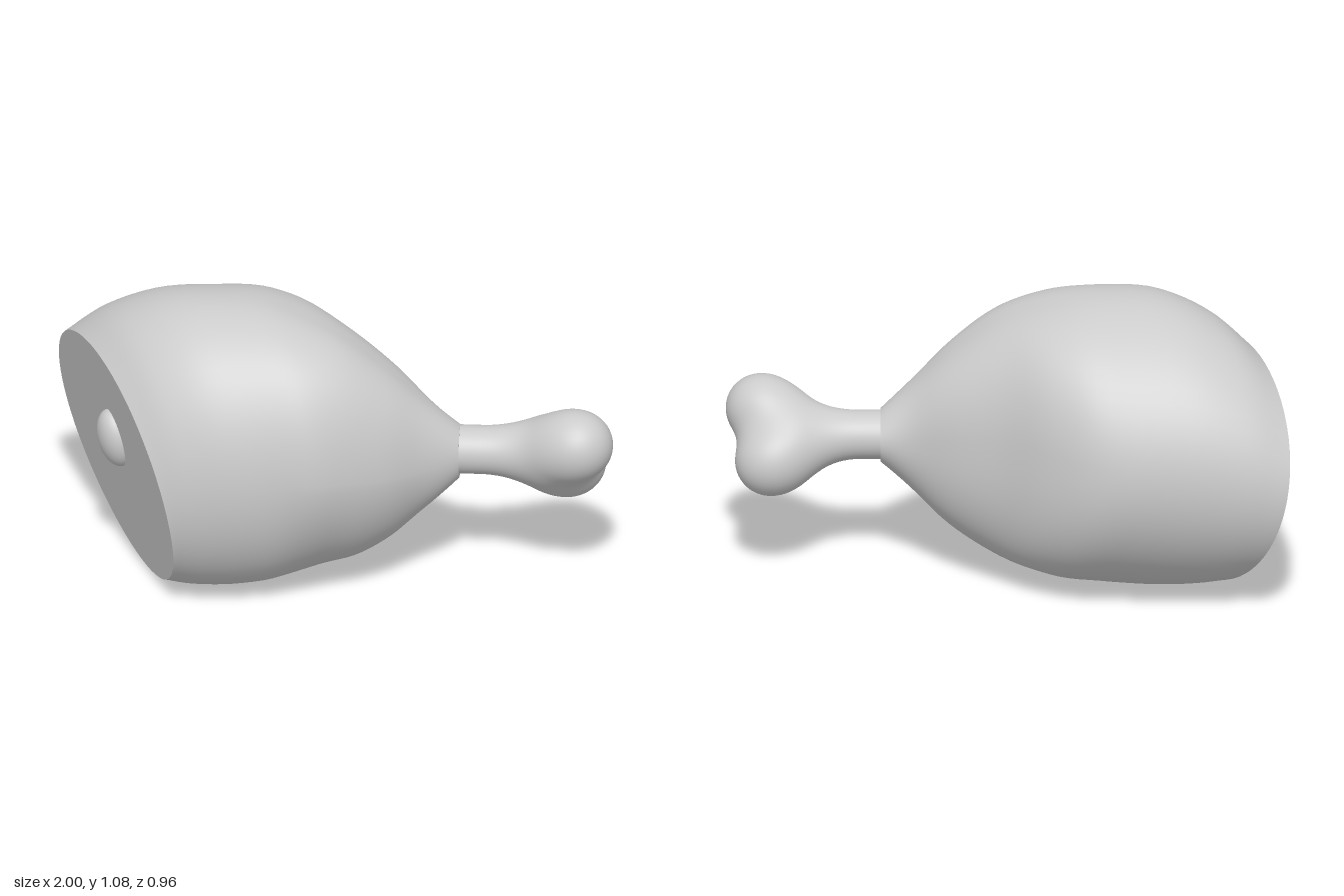
import * as THREE from 'three';

const material = new THREE.MeshStandardMaterial({ color: 0xcccccc });
const SIDES = 64;

// Skin a list of closed rings running towards +x; each ring starts at the top and turns to +z.
function loft(rings, capStart, capEnd) {
  const pos = [], index = [];
  const n = rings[0].length;
  rings.forEach(r => r.forEach(p => pos.push(p.x, p.y, p.z)));
  for (let i = 0; i < rings.length - 1; i++) {
    for (let j = 0; j < n; j++) {
      const a = i * n + j, b = i * n + (j + 1) % n;
      index.push(a, b, a + n, b, b + n, a + n);
    }
  }
  // Caps get their own vertices so the cut edge stays sharp
  const cap = (ring, flip) => {
    const start = pos.length / 3;
    const c = new THREE.Vector3();
    ring.forEach(p => { pos.push(p.x, p.y, p.z); c.addScaledVector(p, 1 / n); });
    pos.push(c.x, c.y, c.z);
    for (let j = 0; j < n; j++) {
      const a = start + j, b = start + (j + 1) % n;
      if (flip) index.push(start + n, b, a); else index.push(start + n, a, b);
    }
  };
  if (capStart) cap(rings[0], true);
  if (capEnd) cap(rings[rings.length - 1], false);
  const g = new THREE.BufferGeometry();
  g.setAttribute('position', new THREE.Float32BufferAttribute(pos, 3));
  g.setIndex(index);
  g.computeVertexNormals();
  return g;
}

function addMesh(group, name, geometry) {
  const mesh = new THREE.Mesh(geometry, material);
  mesh.name = name;
  group.add(mesh);
  return mesh;
}

// The cut leans both ways: x = CUT_X + CUT_Z * z + CUT_Y * (y - 0.47)
const CUT_X = -0.785, CUT_Z = 0.46, CUT_Y = -0.22;
const { smoothstep } = THREE.MathUtils;
const signedPow = (v, p) => Math.sign(v) * Math.pow(Math.abs(v), p);

// Meat: stations of x, top, bottom, front z, back z and share of the cut's lean
function meatGeometry() {
  const stations = [
    [CUT_X, 0.888, 0.02, 0.46, -0.435, 1],
    [-0.65, 1.0, 0.004, 0.475, -0.465, 0.83],
    [-0.47, 1.075, 0.006, 0.48, -0.482, 0.65],
    [-0.25, 1.083, 0.03, 0.46, -0.472, 0.43],
    [-0.1, 1.05, 0.066, 0.445, -0.39, 0.32],
    [0.05, 0.98, 0.113, 0.39, -0.25, 0.22],
    [0.2, 0.86, 0.2, 0.32, -0.15, 0.1],
    [0.33, 0.73, 0.315, 0.235, -0.065, 0],
    [0.45, 0.62, 0.43, 0.16, -0.025, 0],
  ];
  const curve = from => new THREE.CatmullRomCurve3(
    stations.map(s => new THREE.Vector3(s[from], s[from + 1], s[from + 2])), false, 'catmullrom');
  const heights = curve(0), widths = curve(3);
  const rings = [];
  for (let i = 0; i <= 40; i++) {
    const { x, y: top, z: bottom } = heights.getPoint(i / 40);
    const { x: front, y: back, z: lean } = widths.getPoint(i / 40);
    // Towards the ankle the back turns square and the lower front slims
    const w = smoothstep(x, -0.35, 0) * (1 - smoothstep(x, 0.25, 0.45));
    const ring = [];
    for (let j = 0; j < SIDES; j++) {
      const a = j / SIDES * Math.PI * 2;
      let c = Math.cos(a), s = Math.sin(a), power = 1;
      if (s < 0) power = 1 - (c > 0 ? 0.3 : 0.15) * w;
      else if (c < 0) power = 1 + 0.15 * w;
      c = signedPow(c, power);
      s = signedPow(s, power);
      const y = (top + bottom) / 2 + (top - bottom) / 2 * c;
      const skew = 0.045 * c * c * (top - bottom) * (c < 0 ? 1 - w : 1);
      const z = (front + back) / 2 + (front - back) / 2 * s + skew;
      ring.push(new THREE.Vector3(x + lean * (CUT_Z * z + CUT_Y * (y - 0.47)), y, z));
    }
    rings.push(ring);
  }
  return loft(rings, true, true);
}

// Bone: a shaft blended with two knobs, found by stepping rays out from its axis
const knobs = [
  { c: new THREE.Vector3(0.877, 0.6, 0.145), r: 0.12 },
  { c: new THREE.Vector3(0.845, 0.455, -0.005), r: 0.117 },
];
const smin = (a, b, k) => {
  const h = Math.max(k - Math.abs(a - b), 0) / k;
  return Math.min(a, b) - h * h * k / 4;
};
function boneDistance(p) {
  const dx = Math.max(0, p.x - 0.72);
  const shaft = Math.hypot(dx, p.y - 0.53, p.z - 0.068) - 0.087;
  const head = smin(...knobs.map(k => p.distanceTo(k.c) - k.r), 0.085);
  return smin(shaft, head, 0.22);
}
function boneGeometry() {
  const rings = [];
  const addRing = (x, tilt) => {
    const ring = [];
    for (let j = 0; j < SIDES; j++) {
      const a = j / SIDES * Math.PI * 2;
      const dir = new THREE.Vector3(Math.sin(tilt), Math.cos(tilt) * Math.cos(a), Math.cos(tilt) * Math.sin(a));
      const p = new THREE.Vector3(x, 0.53, 0.068);
      for (let s = 0; s < 60; s++) p.addScaledVector(dir, -boneDistance(p) * 0.8);
      ring.push(p);
    }
    rings.push(ring);
  };
  for (let i = 0; i < 24; i++) addRing(0.38 + 0.44 * i / 24, 0);
  for (let i = 0; i <= 24; i++) addRing(0.82, i / 24 * (Math.PI / 2 - 0.002));
  return loft(rings, true, false);
}

export function createModel() {
  const group = new THREE.Group();
  group.name = 'meatLeg';
  addMesh(group, 'meat', meatGeometry());
  addMesh(group, 'bone', boneGeometry());

  // Rounded bone end showing in the cut face
  const stub = addMesh(group, 'boneStub', new THREE.SphereGeometry(1, 32, 20));
  stub.scale.set(0.06, 0.112, 0.08);
  stub.position.set(CUT_X + 0.012, 0.53, 0.055);
  stub.quaternion.setFromUnitVectors(new THREE.Vector3(-1, 0, 0), new THREE.Vector3(-1, CUT_Y, CUT_Z).normalize());
  return group;
}
